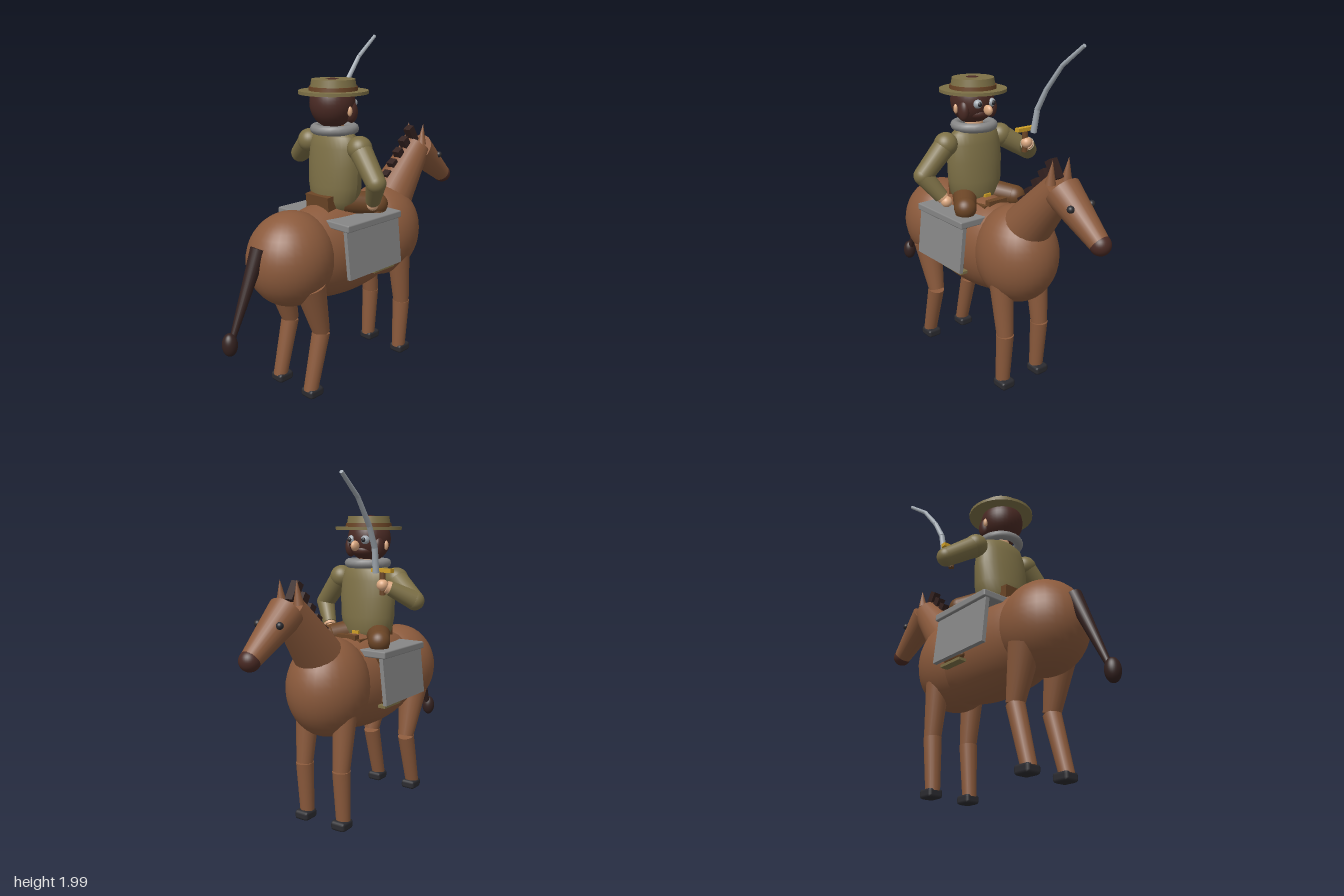
import * as THREE from 'three';
import { RoundedBoxGeometry } from 'three/addons/geometries/RoundedBoxGeometry.js';

const paint = (name, color) => Object.assign(new THREE.MeshStandardMaterial({ color }), { name });

export function createModel() {
  const root = new THREE.Group();
  root.name = 'horseAndRider';
  const coat = paint('chestnut coat', 0x8b5a3c);
  const mane = paint('dark mane', 0x33211f);
  const hair = paint('dark brown hair', 0x4a2a24);
  const hoofMat = paint('hoof black', 0x2b2b30);
  const cloth = paint('grey cloth', 0x878787);
  const leather = paint('leather', 0x6b4526);
  const olive = paint('olive jacket', 0x7d7046);
  const skin = paint('skin', 0xdca981);
  const steel = paint('steel', 0xa3abb3);
  const gold = paint('gold', 0xcf9f26);

  const add = (name, geo, mat, pos = [0, 0, 0], rot = [0, 0, 0], parent = root) => {
    const m = new THREE.Mesh(geo, mat);
    m.name = name;
    m.position.set(...pos);
    m.rotation.set(...rot);
    parent.add(m);
    return m;
  };
  const ball = (name, mat, pos, rx, ry = rx, rz = rx, rot) =>
    add(name, new THREE.SphereGeometry(1, 32, 20).scale(rx, ry, rz), mat, pos, rot);
  const box = (name, mat, pos, size, rot) => add(name, new THREE.BoxGeometry(...size), mat, pos, rot);
  const disc = (name, mat, pos, rTop, rBottom, h) =>
    add(name, new THREE.CylinderGeometry(rTop, rBottom, h, 32), mat, pos);
  // Tapered cylinder from point a to point b
  const limb = (name, mat, a, b, ra, rb, sides = 20) => {
    const A = new THREE.Vector3(...a), B = new THREE.Vector3(...b);
    const m = add(name, new THREE.CylinderGeometry(rb, ra, A.distanceTo(B), sides), mat,
      A.clone().lerp(B, 0.5).toArray());
    m.quaternion.setFromUnitVectors(new THREE.Vector3(0, 1, 0), B.sub(A).normalize());
    return m;
  };

  // Horse trunk
  ball('barrel', coat, [-0.1, 0.8, 0], 0.56, 0.29, 0.23);
  ball('chest', coat, [0.265, 0.815, 0], 0.26, 0.29, 0.235);
  ball('rump', coat, [-0.48, 0.81, 0], 0.26, 0.27, 0.24);

  // Neck and head
  limb('horseNeck', coat, [0.33, 0.98, 0], [0.61, 1.3, 0], 0.145, 0.09, 24);
  limb('horseHead', coat, [0.62, 1.28, 0], [0.9, 1.07, 0], 0.102, 0.055, 24);
  ball('muzzle', hair, [0.9, 1.07, 0], 0.057);
  for (let i = 0; i < 5; i++) {
    box('maneTuft', mane, [0.34 + i * 0.0535, 1.125 + i * 0.064, 0], [0.048, 0.11, 0.05], [0, 0, 0.55]);
  }

  // Tail
  limb('tail', mane, [-0.705, 0.92, 0], [-0.905, 0.46, 0], 0.046, 0.016);
  ball('tailTuft', mane, [-0.92, 0.44, 0], 0.042, 0.065, 0.042);

  for (const s of [1, -1]) {
    // Horse face
    ball('horseEye', hoofMat, [0.757, 1.232, s * 0.074], 0.02);
    add('horseEar', new THREE.ConeGeometry(0.03, 0.13, 12), coat, [0.595, 1.385, s * 0.058], [0, 0, -0.1]);

    // Horse legs
    const z = s * 0.133;
    limb('frontUpperLeg', coat, [0.285, 0.72, z], [0.326, 0.352, z], 0.073, 0.05);
    limb('frontLowerLeg', coat, [0.325, 0.352, z], [0.308, 0.04, z], 0.053, 0.042);
    limb('hindUpperLeg', coat, [-0.465, 0.68, z], [-0.383, 0.378, z], 0.09, 0.05);
    limb('hindLowerLeg', coat, [-0.385, 0.375, z], [-0.472, 0.035, z], 0.052, 0.042);
    for (const x of [0.322, -0.458]) {
      add('hoof', new RoundedBoxGeometry(0.105, 0.056, 0.095, 1, 0.018), hoofMat, [x, 0.028, z]);
    }

    // Hanging saddle cloth
    box('clothPanel', cloth, [-0.1, 0.857, s * 0.272], [0.43, 0.3, 0.025], [-s * 0.11, 0, 0]);

    // Rider leg, mostly tucked behind the cloth
    limb('thigh', leather, [-0.14, 1.085, s * 0.07], [0.02, 1.06, s * 0.185], 0.075, 0.064);
    ball('knee', leather, [0.022, 1.06, s * 0.185], 0.065);
    limb('shin', leather, [0.02, 1.06, s * 0.185], [-0.03, 0.74, s * 0.24], 0.05, 0.03);
    ball('boot', leather, [-0.01, 0.72, s * 0.245], 0.085, 0.035, 0.03);
    box('stirrup', olive, [0.0, 0.69, s * 0.245], [0.17, 0.016, 0.05]);

    // Rider eyes, ears and side locks
    ball('riderEye', steel, [-0.035, 1.638, s * 0.048], 0.026);
    ball('pupil', hoofMat, [-0.016, 1.638, s * 0.049], 0.014);
    ball('riderEar', skin, [-0.14, 1.605, s * 0.125], 0.014, 0.028, 0.014);
    ball('sideLock', hair, [-0.1, 1.595, s * 0.1], 0.04, 0.06, 0.03);
  }

  // Saddle
  add('clothTop', new RoundedBoxGeometry(0.445, 0.042, 0.58, 1, 0.008), cloth, [-0.1, 1.0, 0]);
  box('saddleSeat', leather, [-0.08, 1.04, 0], [0.32, 0.05, 0.18]);
  box('cantle', leather, [-0.24, 1.08, 0], [0.075, 0.11, 0.18], [0, 0, 0.08]);
  box('pommel', leather, [0.075, 1.055, 0], [0.04, 0.07, 0.13]);
  box('beltBuckle', gold, [-0.01, 1.085, 0], [0.02, 0.035, 0.045]);

  // Jacket: round at the waist, broad and flat at the shoulders
  const torso = new THREE.LatheGeometry(
    [[0, 1.03], [0.1, 1.03], [0.122, 1.1], [0.124, 1.18], [0.115, 1.3], [0.1, 1.4], [0.085, 1.46], [0.06, 1.49], [0, 1.49]]
      .map(p => new THREE.Vector2(...p)), 32);
  const tp = torso.attributes.position;
  for (let i = 0; i < tp.count; i++) {
    tp.setZ(i, tp.getZ(i) * (1.2 + 0.65 * (tp.getY(i) - 1.03) / 0.46));
  }
  torso.computeVertexNormals();
  add('jacket', torso, olive, [-0.133, 0, 0]);

  // Rider neck, ruff and head
  disc('riderNeck', skin, [-0.135, 1.52, 0], 0.05, 0.055, 0.1);
  add('ruff', new THREE.TorusGeometry(0.112, 0.028, 10, 20), cloth, [-0.135, 1.498, 0], [Math.PI / 2, 0, 0]);
  ball('riderHead', hair, [-0.15, 1.642, 0], 0.13, 0.138, 0.128);
  ball('beard', hair, [-0.1, 1.575, 0], 0.075, 0.045, 0.075);
  ball('nose', skin, [0, 1.603, 0], 0.034, 0.03, 0.02);

  // Hat
  disc('hatBrim', olive, [-0.142, 1.703, 0], 0.197, 0.197, 0.018);
  disc('hatBand', leather, [-0.142, 1.722, 0], 0.136, 0.138, 0.024);
  disc('hatCrown', olive, [-0.142, 1.751, 0], 0.122, 0.13, 0.046);

  // Arms: shoulder, elbow, wrist and hand points
  const arm = (side, S, E, W, H) => {
    ball(side + 'Shoulder', olive, S, 0.07);
    limb(side + 'UpperArm', olive, S, E, 0.066, 0.056);
    ball(side + 'Elbow', olive, E, 0.056);
    limb(side + 'Forearm', olive, E, W, 0.056, 0.042);
    const cuffEnd = W.map((w, i) => w + (H[i] - w) * 0.45);
    limb(side + 'Cuff', skin, W, cuffEnd, 0.037, 0.034);
    ball(side + 'Hand', skin, H, 0.033);
  };
  arm('right', [-0.14, 1.408, 0.2], [-0.165, 1.24, 0.345], [-0.1, 1.115, 0.265], [-0.08, 1.085, 0.245]);
  arm('left', [-0.14, 1.408, -0.2], [-0.07, 1.3, -0.365], [0.04, 1.375, -0.265], [0.068, 1.392, -0.235]);

  // Sabre: grip, guard and segmented curved blade
  limb('sabreGrip', leather, [0.058, 1.335, -0.23], [0.06, 1.465, -0.23], 0.018, 0.018, 12);
  box('sabreGuard', gold, [0.06, 1.473, -0.23], [0.035, 0.022, 0.13]);
  const blade = [[0.13, 1.465, -0.232], [0.152, 1.602, -0.238], [0.215, 1.72, -0.244], [0.33, 1.867, -0.25], [0.483, 1.986, -0.257]];
  for (let i = 0; i < 4; i++) {
    limb('sabreBlade', steel, blade[i], blade[i + 1], 0.019 - i * 0.002, 0.017 - i * 0.002, 10);
  }
  return root;
}
